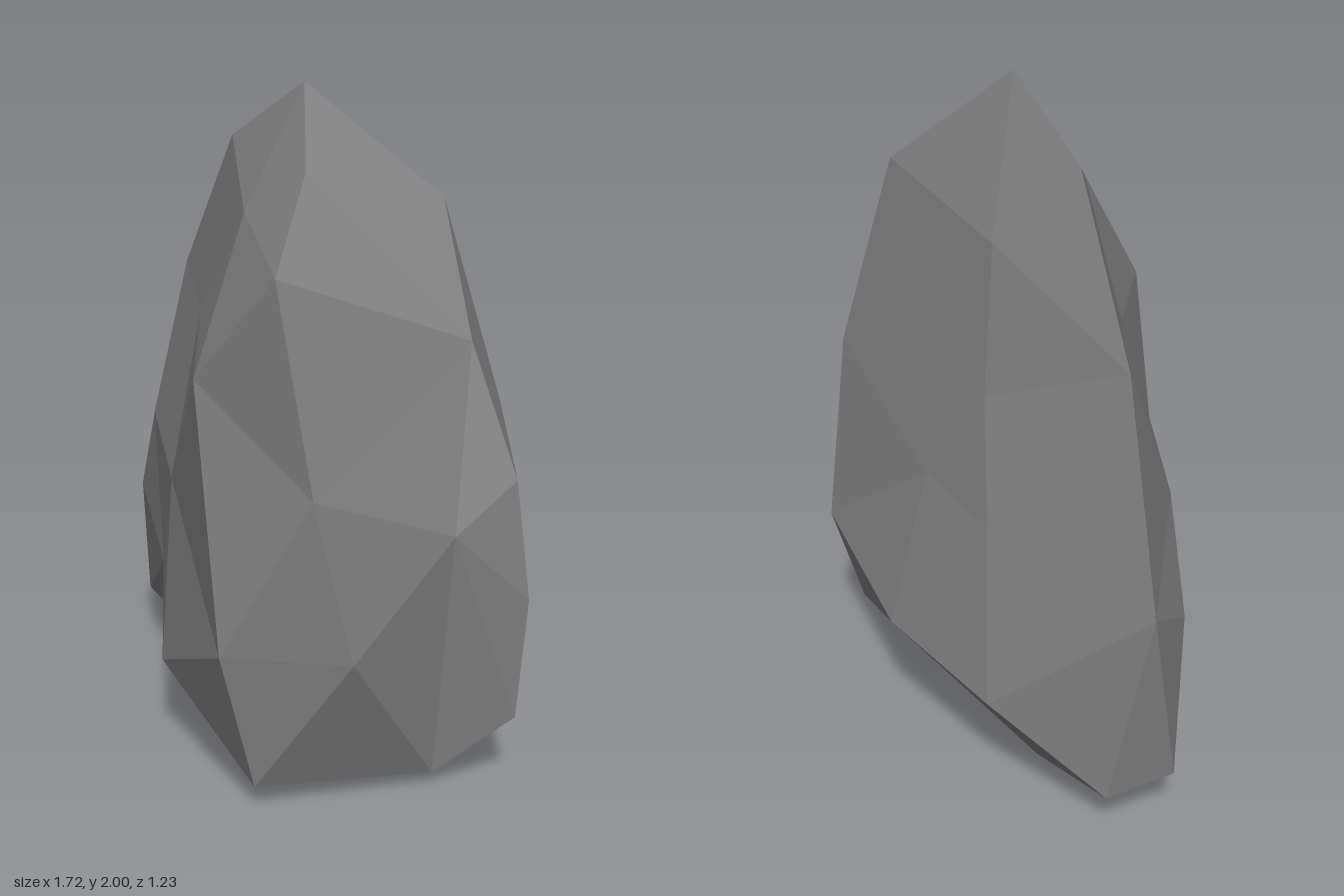
import * as THREE from 'three';
import { ConvexGeometry } from 'three/addons/geometries/ConvexGeometry.js';

// Corners of the boulder, from the peak down to the base
const CORNERS = [
  // peak and shoulders
  [0, 2, -0.12], [-0.36, 1.82, -0.21], [0.24, 1.77, 0.18], [0.43, 1.68, -0.23],
  [0, 1.64, 0.16], [0.39, 1.53, 0.5],
  // front
  [0.1, 1.22, 0.5], [0.52, 0.95, 0.5], [0.28, 0.48, 0.61], [0.6, 0.48, 0.42],
  [-0.29, 1.3, 0.03], [-0.6, 0.9, -0.08], [-0.24, 0.81, 0.23], [-0.75, 0.6, -0.17],
  [-0.46, 0.44, 0.04], [-0.17, 0.27, 0.36],
  // ends
  [-0.68, 1.37, -0.34], [-0.86, 0.74, -0.41], [-0.83, 0.16, -0.28],
  [0.67, 1.32, -0.02], [0.82, 0.94, -0.04], [0.73, 0.8, 0.13],
  [0.86, 0.59, -0.06], [0.83, 0.22, -0.06],
  // back
  [-0.14, 1.58, -0.33], [-0.2, 1.17, -0.42], [0.58, 1.08, -0.33], [0.02, 0.86, -0.46],
  [-0.33, 0.85, -0.53], [0.55, 0.5, -0.44], [0.01, 0.42, -0.62], [-0.42, 0.35, -0.62],
  // base
  [0.33, 0.07, 0.52], [0.64, 0.04, 0.08], [0.1, 0, 0.2], [-0.25, 0.02, -0.1],
  [-0.37, 0.02, -0.38], [-0.75, 0.13, -0.47], [0.18, 0.02, -0.3], [0.57, 0.12, -0.31],
];

const CENTRE = new THREE.Vector3(0, 0.9, -0.04);
const RADII = new THREE.Vector3(0.95, 1.05, 0.42);
const TURN = -0.5; // the slab lies diagonally in plan
const UP = new THREE.Vector3(0, 1, 0);
const INFLATE = 0.8;

// Radially inflate the corners toward an ellipsoid, skin them, then pull the
// skin back so shallow hollows survive.
function boulderGeometry() {
  const points = CORNERS.map((c) => {
    const p = new THREE.Vector3(...c).sub(CENTRE).applyAxisAngle(UP, -TURN).divide(RADII);
    return p.multiplyScalar(Math.pow(p.length(), -INFLATE));
  });
  const geometry = new ConvexGeometry(points);
  const position = geometry.attributes.position;
  const p = new THREE.Vector3();
  for (let i = 0; i < position.count; i++) {
    p.fromBufferAttribute(position, i);
    p.multiplyScalar(Math.pow(p.length(), INFLATE / (1 - INFLATE)));
    p.multiply(RADII).applyAxisAngle(UP, TURN).add(CENTRE);
    position.setXYZ(i, p.x, p.y, p.z);
  }
  geometry.computeVertexNormals();
  return geometry;
}

export function createModel() {
  const group = new THREE.Group();
  const material = new THREE.MeshStandardMaterial({ color: 0x808080, flatShading: true });
  const boulder = new THREE.Mesh(boulderGeometry(), material);
  boulder.name = 'boulder';
  group.add(boulder);
  return group;
}
